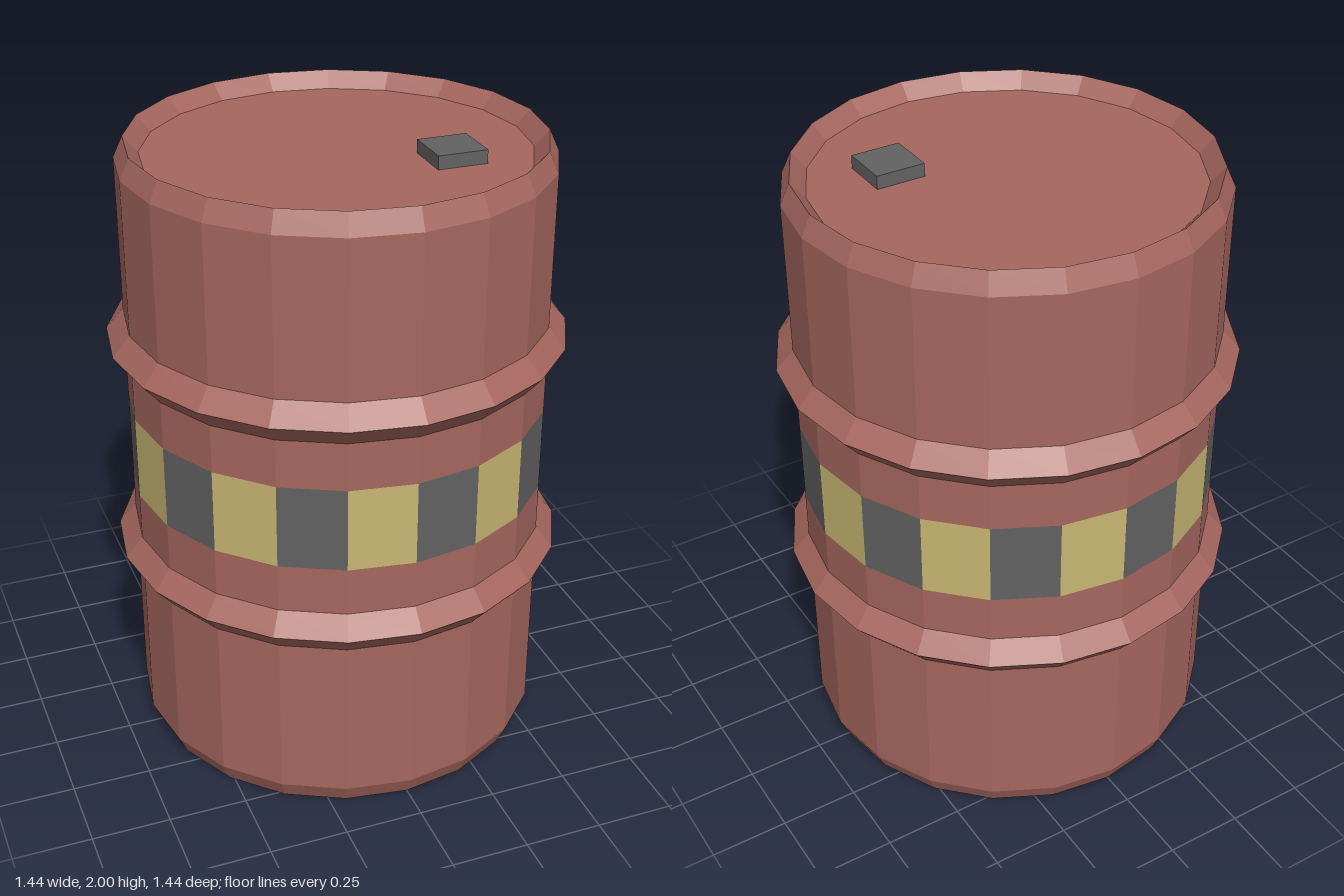
import * as THREE from 'three';

const SIDES = 20;
const R = 0.665; // wall radius
const STEP = (Math.PI * 2) / SIDES;

const red = new THREE.MeshStandardMaterial({ color: 0xa6675f });
red.name = 'rustRed';
const yellow = new THREE.MeshStandardMaterial({ color: 0xc9b773 });
yellow.name = 'paleYellow';
const grey = new THREE.MeshStandardMaterial({ color: 0x626263 });
grey.name = 'darkGrey';

// Faceted surface of revolution; profile runs bottom to top, outside facing out
function turned(name, profile, material, segments = SIDES, start = 0) {
  const points = profile.map(([r, y]) => new THREE.Vector2(r, y));
  const geometry = new THREE.LatheGeometry(points, segments, start, segments * STEP).toNonIndexed();
  geometry.computeVertexNormals();
  const mesh = new THREE.Mesh(geometry, material);
  mesh.name = name;
  return mesh;
}

// Pointed reinforcing ridge around the wall
const ridge = (y) => [[R, y - 0.065], [0.72, y], [R, y + 0.065]];

export function createModel() {
  const group = new THREE.Group();
  group.name = 'barrel';
  const bandLow = 0.89, bandHigh = 1.16;

  // Bevelled base, lower wall and lower ridge
  group.add(turned('lowerBody',
    [[0, 0], [0.635, 0], [R, 0.065], ...ridge(0.67), [R, bandLow]], red));

  // Upper ridge, upper wall, bevelled rim and sunken lid
  group.add(turned('upperBody',
    [[R, bandHigh], ...ridge(1.38), [R, 1.935], [0.635, 2], [0.59, 1.95], [0, 1.95]], red));

  // Warning band: one colour per facet, alternating
  const band = new THREE.Group();
  band.name = 'warningBand';
  for (let i = 0; i < SIDES; i++) {
    band.add(turned('bandPanel', [[R, bandLow], [R, bandHigh]], i % 2 ? yellow : grey, 1, i * STEP));
  }
  group.add(band);

  // Square filler cap on the lid
  const cap = new THREE.Mesh(new THREE.BoxGeometry(0.157, 0.05, 0.157), grey);
  cap.name = 'fillerCap';
  cap.position.set(0.286, 1.967, 0.197);
  group.add(cap);

  return group;
}
